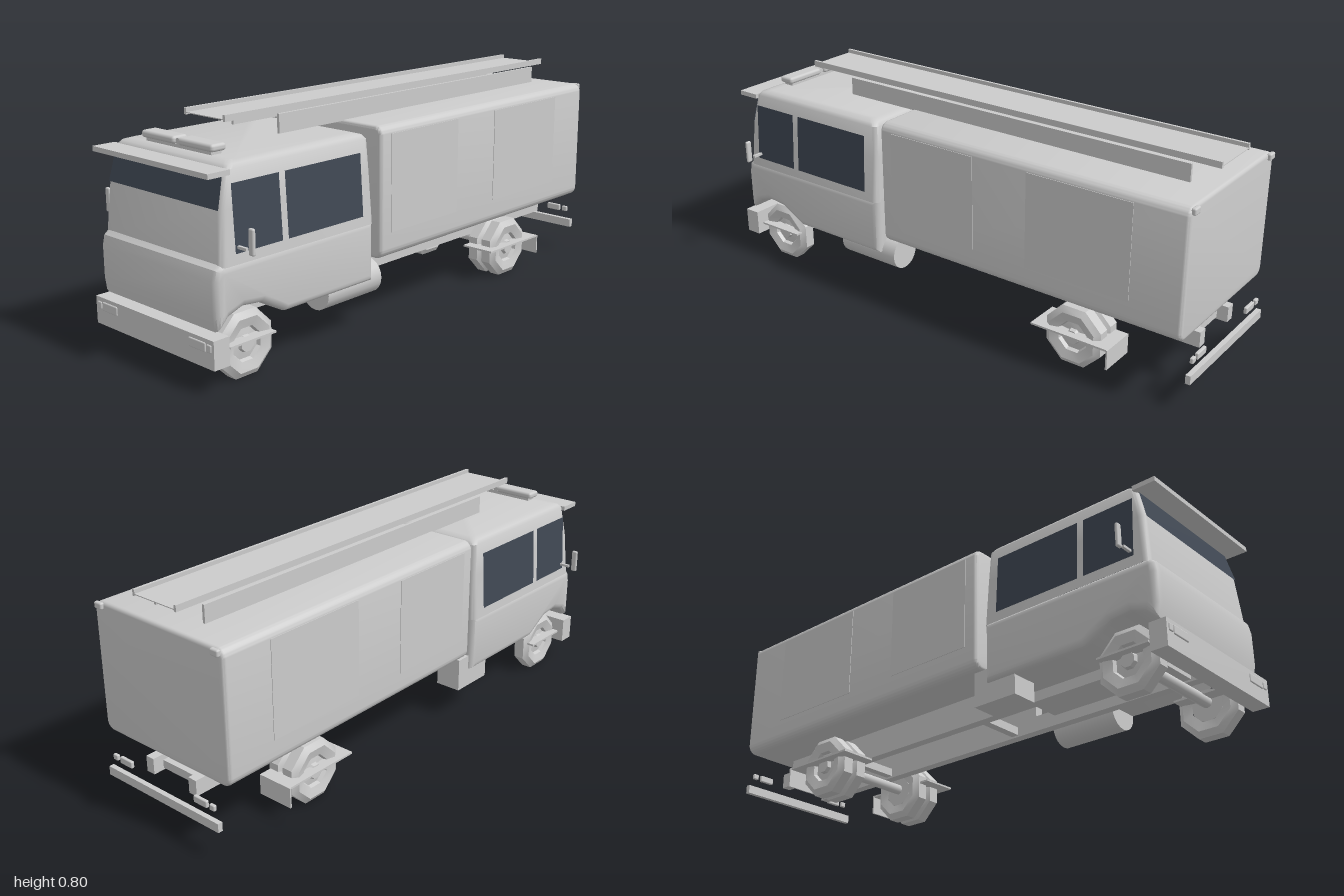
import * as THREE from 'three';
import { toCreasedNormals } from 'three/addons/utils/BufferGeometryUtils.js';
import { RoundedBoxGeometry } from 'three/addons/geometries/RoundedBoxGeometry.js';

export function createModel() {
  const truck = new THREE.Group();
  truck.name = 'fireTruck';
  const grey = new THREE.MeshStandardMaterial({ name: 'light grey', color: 0xcccccc });
  const glass = new THREE.MeshStandardMaterial({ name: 'dark glass', color: 0x404854, side: THREE.DoubleSide });

  function add(name, geometry, material = grey, parent = truck) {
    const mesh = new THREE.Mesh(geometry, material);
    mesh.name = name;
    parent.add(mesh);
    return mesh;
  }
  // Box given by its ranges on each axis, optionally rounded
  function box(name, x0, x1, y0, y1, z0, z1, r = 0) {
    const s = [x1 - x0, y1 - y0, z1 - z0];
    const g = r ? new RoundedBoxGeometry(...s, 2, r) : new THREE.BoxGeometry(...s);
    return add(name, g.translate((x0 + x1) / 2, (y0 + y1) / 2, (z0 + z1) / 2));
  }
  // The same box on both sides
  function pair(name, x0, x1, ...rest) {
    box(name + 'Left', x0, x1, ...rest);
    box(name + 'Right', -x1, -x0, ...rest);
  }
  function quad(name, a, b, c, d) {
    const g = new THREE.BufferGeometry();
    g.setAttribute('position', new THREE.Float32BufferAttribute([...a, ...b, ...c, ...a, ...c, ...d], 3));
    g.computeVertexNormals();
    add(name, g, glass);
  }
  function roundedRect(w, h, r) {
    const s = new THREE.Shape();
    s.absarc(w - r, h - r, r, 0, Math.PI / 2);
    s.absarc(-w + r, h - r, r, Math.PI / 2, Math.PI);
    s.absarc(-w + r, -h + r, r, Math.PI, Math.PI * 1.5);
    s.absarc(w - r, -h + r, r, Math.PI * 1.5, Math.PI * 2);
    return s;
  }

  // Rear equipment body
  const bev = 0.012;
  const bodyG = new THREE.ExtrudeGeometry(roundedRect(0.297 - bev, 0.2325 - bev, 0.022), {
    depth: 1.22 - 2 * bev, bevelSize: bev, bevelThickness: bev, bevelSegments: 3, curveSegments: 5,
  });
  bodyG.translate(0, 0.4925, -0.97 + bev);
  add('equipmentBody', toCreasedNormals(bodyG, 0.6));
  pair('frontShutter', 0.295, 0.299, 0.35, 0.695, -0.16, 0.2);
  pair('rearShutter', 0.295, 0.299, 0.35, 0.695, -0.78, -0.38);
  pair('rearCornerLamp', 0.25, 0.285, 0.70, 0.724, -0.982, -0.965, 0.006);

  // Lower cab with the wheel arch cut from its side profile
  const b = 0.025;
  const side = new THREE.Shape();
  [[0.283, 0.195], [0.69, 0.195], [0.74, 0.222], [0.79, 0.25], [0.865, 0.258], [0.92, 0.24], [0.965, 0.2],
    [0.973, 0.25], [0.973, 0.36], [0.965, 0.395], [0.945, 0.412], [0.283, 0.412]]
    .forEach(([z, y], i) => (i ? side.lineTo(-z, y) : side.moveTo(-z, y)));
  const lowerG = new THREE.ExtrudeGeometry(side, {
    depth: 0.59 - 2 * b, bevelSize: b, bevelOffset: -b, bevelThickness: b, bevelSegments: 3,
  });
  lowerG.translate(0, 0, -0.295 + b).rotateY(Math.PI / 2);
  add('lowerCab', toCreasedNormals(lowerG, 0.6));

  // Upper cab, lofted through rounded rectangles: y, half width, front z, back z
  const rings = [[0.40, 0.2956, 0.95, 0.283], [0.575, 0.2846, 0.935, 0.287], [0.69, 0.2774, 0.905, 0.292],
    [0.703, 0.268, 0.893, 0.302], [0.71, 0.245, 0.87, 0.325]];
  const pos = [], idx = [], n = 20;
  rings.forEach(([y, hx, zf, zb]) => {
    const r = 0.022, mid = (zf + zb) / 2, hz = (zf - zb) / 2;
    for (let c = 0; c < 4; c++) {
      for (let k = 0; k < 5; k++) {
        const a = (c + k / 4) * Math.PI / 2;
        const sx = c === 0 || c === 3 ? 1 : -1, sz = c < 2 ? 1 : -1;
        pos.push(sx * (hx - r) + r * Math.cos(a), y, mid + sz * (hz - r) + r * Math.sin(a));
      }
    }
  });
  for (let j = 0; j < rings.length - 1; j++) {
    for (let i = 0; i < n; i++) {
      const p = j * n + i, q = j * n + (i + 1) % n;
      idx.push(p, p + n, q, q, p + n, q + n);
    }
  }
  const top = (rings.length - 1) * n;
  for (let i = 1; i < n - 1; i++) idx.push(top, top + i + 1, top + i);
  const upperG = new THREE.BufferGeometry();
  upperG.setAttribute('position', new THREE.Float32BufferAttribute(pos, 3));
  upperG.setIndex(idx);
  add('upperCab', toCreasedNormals(upperG, 0.7));

  // Windscreen and side windows
  quad('windscreen', [-0.272, 0.572, 0.939], [0.272, 0.572, 0.939], [0.262, 0.692, 0.908], [-0.262, 0.692, 0.908]);
  for (const s of [1, -1]) {
    for (const [name, z0, z1] of [['doorWindow', 0.705, 0.897], ['crewWindow', 0.34, 0.68]]) {
      quad(name + (s > 0 ? 'Left' : 'Right'), [s * 0.297, 0.435, z0], [s * 0.2835, 0.65, z0],
        [s * 0.2835, 0.65, z1], [s * 0.297, 0.435, z1]);
    }
  }
  box('sunVisor', -0.285, 0.285, 0.676, 0.693, 0.9, 0.985);

  // Mirrors
  pair('mirrorArm', 0.285, 0.335, 0.45, 0.459, 0.88, 0.89);
  pair('mirror', 0.346, 0.369, 0.44, 0.525, 0.879, 0.892, 0.006);

  // Roof light bar
  box('lightBarBase', -0.16, 0.16, 0.705, 0.722, 0.825, 0.865);
  pair('lightBar', 0.01, 0.175, 0.72, 0.745, 0.815, 0.875, 0.01);
  add('lightBarHub', new THREE.CylinderGeometry(0.01, 0.01, 0.04, 10).rotateX(Math.PI / 2).translate(0, 0.731, 0.845));

  // Ladder tray on the roof
  box('ladderTray', -0.095, 0.095, 0.793, 0.796, -0.968, 0.757);
  pair('ladderRail', 0.09, 0.1, 0.788, 0.81, -0.968, 0.757);
  pair('ladderSupport', 0.108, 0.118, 0.722, 0.787, -0.875, 0.545);

  // Front bumper and lamps
  box('frontBumper', -0.3, 0.3, 0.092, 0.187, 0.935, 0.996);
  pair('headlight', 0.183, 0.263, 0.143, 0.174, 0.985, 1.0, 0.004);
  pair('indicator', 0.268, 0.289, 0.146, 0.172, 0.985, 1.0, 0.004);

  // Chassis
  pair('chassisRail', 0.085, 0.12, 0.158, 0.215, -0.955, 0.92);
  pair('bodyMount', 0.085, 0.12, 0.215, 0.265, -0.9, 0.2);
  for (const z of [-0.9, -0.55, 0.1, 0.825]) box('crossMember', -0.09, 0.09, 0.165, 0.195, z - 0.015, z + 0.015);
  const tank = new THREE.CylinderGeometry(0.063, 0.063, 0.26, 20).rotateX(Math.PI / 2);
  add('airTank', tank.translate(0.213, 0.188, 0.355));
  box('batteryBox', -0.275, -0.175, 0.125, 0.25, 0.225, 0.4);

  // Tail bar and lamps
  box('rearBar', -0.265, 0.265, 0.108, 0.14, -1.0, -0.982);
  pair('tailLamp', 0.15, 0.21, 0.17, 0.195, -0.995, -0.982, 0.004);
  pair('reverseLamp', 0.222, 0.245, 0.172, 0.193, -0.995, -0.982, 0.004);

  // Wheels: octagonal tyres with chamfered shoulders and a recessed hub
  const profile = [[0.06, -0.026], [0.095, -0.035], [0.117, -0.02], [0.117, 0.02], [0.095, 0.035], [0.06, 0.026],
    [0.055, 0.012], [0.03, 0.016], [0.026, 0.03], [0, 0.03]].map(([r, y]) => new THREE.Vector2(r, y));
  const tyreG = toCreasedNormals(new THREE.LatheGeometry(profile, 8, Math.PI / 8), 0.5).rotateZ(-Math.PI / 2);
  const innerG = new THREE.CylinderGeometry(0.062, 0.062, 0.03, 8).rotateZ(Math.PI / 2);
  function wheel(name, s, x, z) {
    const g = new THREE.Group();
    g.name = name + (s > 0 ? 'Left' : 'Right');
    add('tyre', tyreG, grey, g);
    add('innerRim', innerG, grey, g).position.x = -0.011;
    g.position.set(s * x, 0.117, z);
    if (s < 0) g.rotation.y = Math.PI;
    truck.add(g);
  }
  for (const s of [1, -1]) {
    wheel('frontWheel', s, 0.227, 0.825);
    wheel('rearOuterWheel', s, 0.227, -0.55);
    wheel('rearInnerWheel', s, 0.165, -0.55);
  }
  for (const z of [0.825, -0.55]) {
    add('axle', new THREE.CylinderGeometry(0.02, 0.02, 0.4, 8).rotateZ(Math.PI / 2).translate(0, 0.125, z));
  }

  // Mudguards
  pair('rearMudguard', 0.15, 0.285, 0.13, 0.137, -0.705, -0.4);
  pair('rearMudflap', 0.15, 0.288, 0.063, 0.137, -0.708, -0.702);
  pair('frontMudguard', 0.15, 0.285, 0.135, 0.142, 0.73, 0.92);
  return truck;
}
